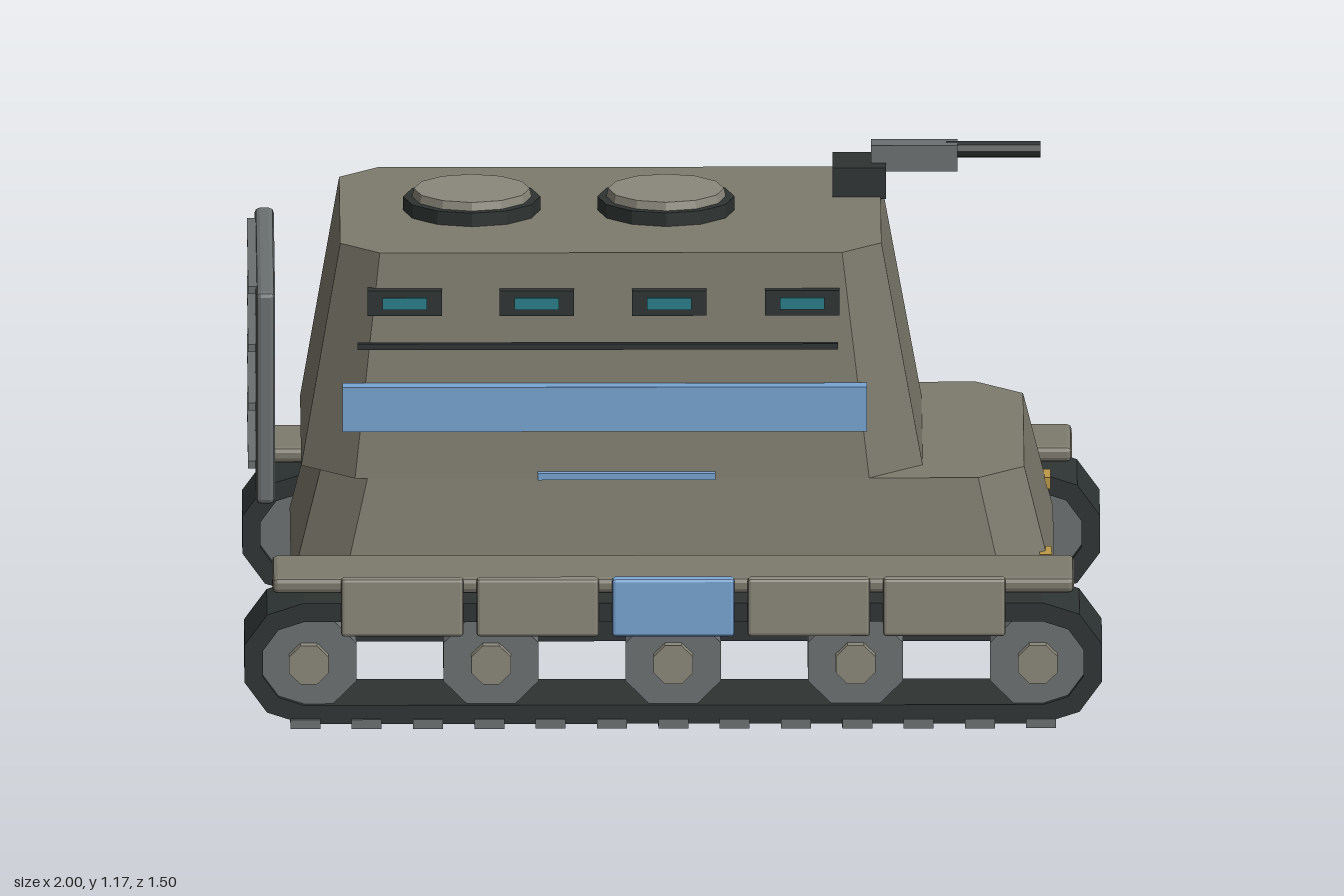
import * as THREE from 'three';
import { RoundedBoxGeometry } from 'three/addons/geometries/RoundedBoxGeometry.js';

const mat = (color) => new THREE.MeshStandardMaterial({ color, flatShading: true });
const hullMat = mat(0x7d7a6d), dark = mat(0x2e3433), steel = mat(0x6b7070), lidMat = mat(0x8b887b);
const blue = mat(0x78a4d3), teal = mat(0x2a7f8a), amber = mat(0xbd9a4a);

// Chamfered rectangle, counter-clockwise seen from above
const ring = ({ y, x0, x1, z, c }) => [
  [x1 - c, z], [x1, z - c], [x1, c - z], [x1 - c, -z],
  [x0 + c, -z], [x0, c - z], [x0, z - c], [x0 + c, z],
].map(([x, zz]) => [x, y, zz]);

// Closed solid between two chamfered rectangles
function loft(bottom, top) {
  const a = ring(bottom), b = ring(top), n = a.length, p = [];
  for (let i = 0; i < n; i++) {
    const j = (i + 1) % n;
    p.push(a[i], a[j], b[j], a[i], b[j], b[i]);
    if (i > 0 && i < n - 1) p.push(b[0], b[i], b[j], a[0], a[j], a[i]);
  }
  const g = new THREE.BufferGeometry();
  g.setAttribute('position', new THREE.Float32BufferAttribute(p.flat(), 3));
  g.computeVertexNormals();
  return g;
}

// Outline of a track loop with faceted ends
function loopPoints(r) {
  const pts = [];
  for (const s of [1, -1]) {
    for (let i = 0; i <= 5; i++) {
      const t = -Math.PI / 2 + (i * Math.PI) / 5;
      pts.push(new THREE.Vector2(s * (0.862 + r * Math.cos(t)), 0.155 + s * r * Math.sin(t)));
    }
  }
  return pts;
}

export function createModel() {
  const model = new THREE.Group();
  model.name = 'trackedCarrier';

  const add = (parent, name, geo, material, x = 0, y = 0, z = 0) => {
    const m = new THREE.Mesh(geo, material);
    m.name = name;
    m.position.set(x, y, z);
    parent.add(m);
    return m;
  };
  // Box given by its limits on each axis
  const box = (parent, name, material, [x0, x1], [y0, y1], [z0, z1], r = 0) => {
    const size = [x1 - x0, y1 - y0, z1 - z0];
    const geo = r ? new RoundedBoxGeometry(...size, 1, r) : new THREE.BoxGeometry(...size);
    return add(parent, name, geo, material, (x0 + x1) / 2, (y0 + y1) / 2, (z0 + z1) / 2);
  };

  // Body
  add(model, 'chassis', loft(
    { y: 0.14, x0: -0.87, x1: 0.87, z: 0.465, c: 0.11 },
    { y: 0.25, x0: -0.87, x1: 0.87, z: 0.465, c: 0.11 }), dark);
  add(model, 'lowerHull', loft(
    { y: 0.25, x0: -0.89, x1: 0.89, z: 0.49, c: 0.115 },
    { y: 0.53, x0: -0.82, x1: 0.82, z: 0.455, c: 0.108 }), hullMat);
  add(model, 'cabin', loft(
    { y: 0.53, x0: -0.866, x1: 0.583, z: 0.456, c: 0.125 },
    { y: 1.06, x0: -0.775, x1: 0.487, z: 0.407, c: 0.092 }), hullMat);

  // Roof hatches
  for (const x of [-0.467, -0.014]) {
    add(model, 'hatchRing', new THREE.CylinderGeometry(0.16, 0.16, 0.035, 12), dark, x, 1.075, 0);
    add(model, 'hatchLid', new THREE.CylinderGeometry(0.135, 0.142, 0.03, 12), lidMat, x, 1.097, 0);
  }

  // Roof gun
  const gun = new THREE.Group();
  gun.name = 'roofGun';
  model.add(gun);
  box(gun, 'gunMount', dark, [0.375, 0.5], [1.055, 1.13], [-0.27, -0.117]);
  box(gun, 'gunBody', steel, [0.465, 0.667], [1.11, 1.172], [-0.226, -0.164]);
  const barrel = add(gun, 'gunBarrel', new THREE.CylinderGeometry(0.02, 0.02, 0.22, 8), dark, 0.75, 1.155, -0.195);
  barrel.rotation.z = Math.PI / 2;

  // Rear ramp with slats
  box(model, 'rearRamp', steel, [-0.972, -0.927], [0.455, 0.965], [-0.41, 0.41], 0.012);
  for (const y of [0.53, 0.67, 0.81, 0.95]) {
    box(model, 'rampSlat', steel, [-0.99, -0.965], [y - 0.009, y + 0.009], [-0.325, 0.325]);
  }

  // Tracks and side fittings, one group per side
  const trackShape = new THREE.Shape(loopPoints(0.145));
  trackShape.holes.push(new THREE.Path(loopPoints(0.1).reverse()));
  const trackGeo = new THREE.ExtrudeGeometry(trackShape, { depth: 0.247, bevelEnabled: false });
  const wheelGeo = new THREE.CylinderGeometry(0.12, 0.12, 0.21, 8).rotateY(Math.PI / 8).rotateX(Math.PI / 2);
  const hubGeo = new THREE.CylinderGeometry(0.05, 0.05, 0.05, 8).rotateY(Math.PI / 8).rotateX(Math.PI / 2);

  for (const s of [1, -1]) {
    const side = new THREE.Group();
    side.name = s > 0 ? 'leftSide' : 'rightSide';
    model.add(side);
    const at = (z0, z1) => (s > 0 ? [z0, z1] : [-z1, -z0]);

    add(side, 'trackBand', trackGeo, dark, 0, 0, s > 0 ? 0.488 : -0.735);
    for (let i = 0; i < 13; i++) {
      const x = (i - 6) * 0.143;
      box(side, 'trackPad', steel, [x - 0.035, x + 0.035], [0, 0.022], at(0.484, 0.742));
    }
    for (let i = -2; i <= 2; i++) {
      add(side, 'roadWheel', wheelGeo, steel, i * 0.425, 0.155, s * 0.615);
      add(side, 'wheelHub', hubGeo, lidMat, i * 0.425, 0.155, s * 0.724);
      const x = i * 0.316;
      box(side, 'skirtPanel', i === 0 ? blue : lidMat, [x - 0.143, x + 0.143], [0.222, 0.362], at(0.72, 0.75), 0.008);
    }
    box(side, 'fender', hullMat, [-0.935, 0.935], [0.322, 0.36], at(0.505, 0.735), 0.012);

    // Vision slits
    for (const x of [-0.625, -0.317, -0.008, 0.302]) {
      box(side, 'slitFrame', dark, [x - 0.087, x + 0.087], [0.916, 0.976], at(0.405, 0.438));
      box(side, 'slitGlass', teal, [x - 0.052, x + 0.052], [0.932, 0.96], at(0.43, 0.445));
    }
    box(side, 'sideRail', dark, [-0.735, 0.385], [0.843, 0.857], at(0.455, 0.472));
    box(side, 'sideBand', blue, [-0.77, 0.453], [0.648, 0.755], at(0.44, 0.48));
    box(side, 'sideStrip', blue, [-0.315, 0.1], [0.53, 0.546], at(0.45, 0.475));
    box(side, 'headlight', amber, [0.855, 0.884], [0.305, 0.332], at(0.325, 0.405));
  }
  return model;
}
